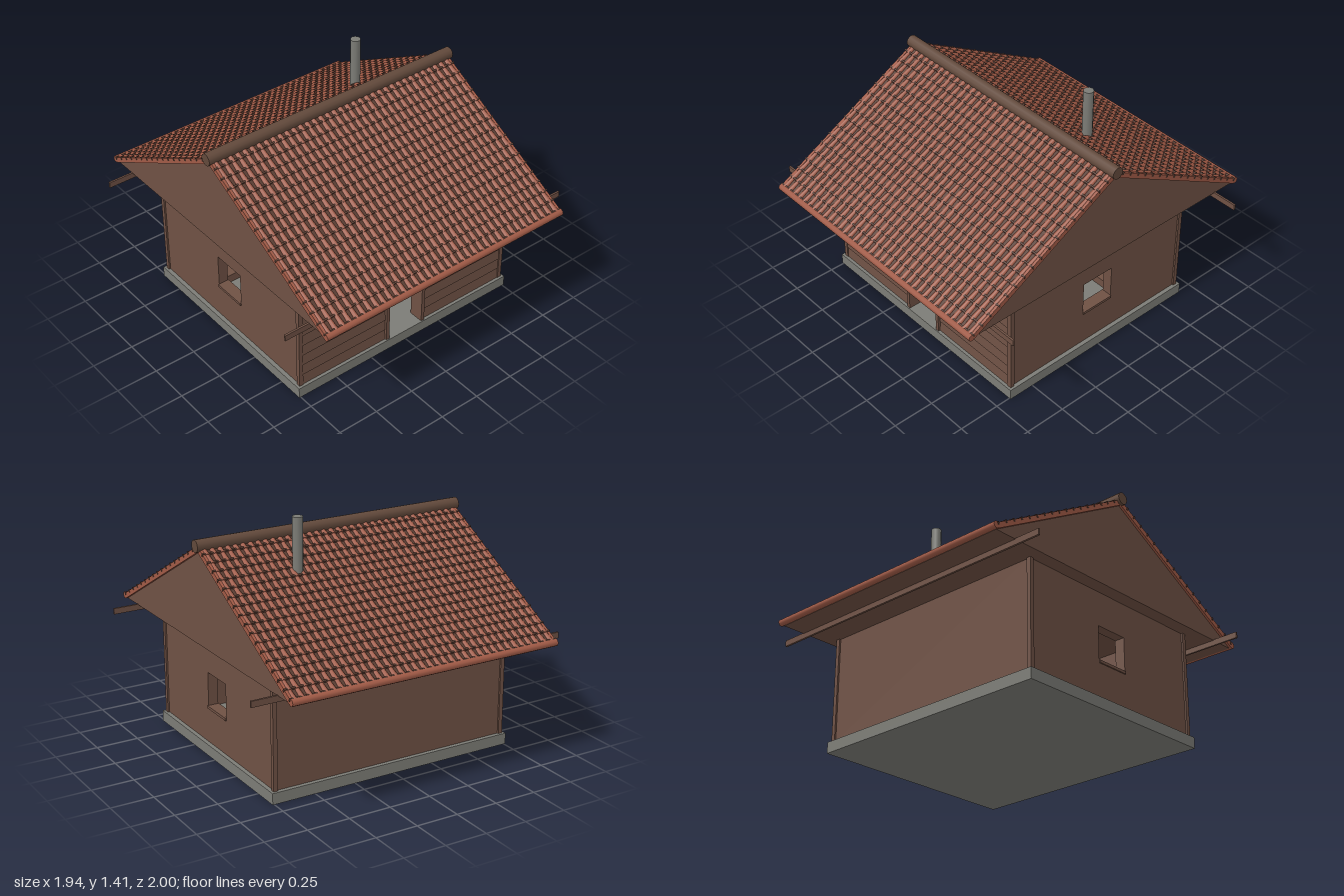
import * as THREE from 'three';
import { mergeGeometries } from 'three/addons/utils/BufferGeometryUtils.js';

const mat = (name, color) => {
  const m = new THREE.MeshStandardMaterial({ color });
  m.name = name;
  return m;
};

export function createModel() {
  const root = new THREE.Group();
  root.name = 'cabin';
  const wood = mat('brown wood', 0x6f5144);
  const ridgeWood = mat('dark wood', 0x62493b);
  const pan = mat('tile gap brown', 0x593d32);
  const clay = mat('terracotta', 0xa05a46);
  const stone = mat('grey concrete', 0x7c7c76);

  const add = (name, geo, material, x = 0, y = 0, z = 0, parent = root) => {
    const m = new THREE.Mesh(geo, material);
    m.name = name;
    m.position.set(x, y, z);
    parent.add(m);
    return m;
  };
  const box = (name, w, h, d, material, x, y, z, parent) =>
    add(name, new THREE.BoxGeometry(w, h, d), material, x, y, z, parent);
  const polygon = (pts) => new THREE.Shape(pts.map((p) => new THREE.Vector2(...p)));
  const slab = (shape, depth) => new THREE.ExtrudeGeometry(shape, { depth, bevelEnabled: false });

  // Foundation, its top is the floor
  box('foundation', 1.52, 0.065, 1.32, stone, 0, 0.0325, 0);

  // Side walls with square window openings and sills
  const y0 = 0.065, y1 = 0.69;
  const side = polygon([[-0.62, y0], [0.62, y0], [0.62, y1], [-0.62, y1]]);
  side.holes.push(polygon([[-0.105, 0.28], [-0.105, 0.485], [0.105, 0.485], [0.105, 0.28]]));
  for (const s of [-1, 1]) {
    const geo = slab(side, 0.06).translate(0, 0, -0.03).rotateY(Math.PI / 2);
    add('sideWall', geo, wood, s * 0.705, 0, 0);
    box('windowSill', 0.07, 0.016, 0.21, wood, s * 0.707, 0.279, 0);
    for (const t of [-1, 1]) {
      box('cornerPost', 0.025, y1 - y0, 0.025, wood, s * 0.7325, (y0 + y1) / 2, t * 0.6325);
    }
  }

  // Back wall, and front wall with an open doorway
  box('backWall', 1.45, y1 - y0, 0.06, wood, 0, (y0 + y1) / 2, -0.605);
  const front = polygon([[-0.72, y0], [-0.12, y0], [-0.12, 0.525], [0.12, 0.525],
    [0.12, y0], [0.72, y0], [0.72, y1], [-0.72, y1]]);
  add('frontWall', slab(front, 0.06), wood, 0, 0, 0.57);

  // Lapped siding on the front wall
  const rows = 9, rowH = (y1 - y0) / rows;
  for (let i = 0; i < rows; i++) {
    const y = y0 + (i + 0.5) * rowH;
    const runs = y + rowH / 2 < 0.57 ? [[-0.72, -0.13], [0.13, 0.72]] : [[-0.72, 0.72]];
    for (const [a, b] of runs) {
      box('sidingBoard', b - a, rowH, 0.008, wood, (a + b) / 2, y, 0.635).rotation.x = -0.08;
    }
  }

  // Door frame
  for (const s of [-1, 1]) box('doorJamb', 0.022, 0.485, 0.09, wood, s * 0.129, 0.3075, 0.608);
  box('doorHead', 0.28, 0.028, 0.09, wood, 0, 0.538, 0.608);
  box('doorCap', 0.32, 0.02, 0.05, wood, 0, 0.56, 0.634);

  // Benches along the back wall inside
  box('upperBench', 1.35, 0.035, 0.22, wood, 0, 0.2725, -0.465);
  box('benchRail', 1.35, 0.037, 0.02, wood, 0, 0.2, -0.375);
  box('lowerBench', 1.35, 0.05, 0.2, wood, 0, 0.09, -0.4);

  // Attic block with gables and flat soffit
  const gable = polygon([[-0.97, 0.685], [0.97, 0.685], [0.97, 0.7], [0, 1.235], [-0.97, 0.7]]);
  add('attic', slab(gable, 1.63).translate(0, 0, -0.815).rotateY(Math.PI / 2), wood);

  // Boards carried past the gables under the eaves
  for (const s of [-1, 1]) box('eaveBoard', 1.94, 0.035, 0.012, wood, 0, 0.672, s * 0.825);

  // One tiled slope; local z runs down the slope, local y points out of it
  const angle = Math.atan2(0.535, 0.97), len = Math.hypot(0.535, 0.97);
  const cols = 36, courses = 17, pitch = 1.65 / cols, step = len / courses;
  const tile = new THREE.CylinderGeometry(0.0165, 0.0125, step, 5, 1, false, Math.PI / 2, Math.PI)
    .rotateX(Math.PI / 2);
  const tiles = [], battens = [];
  for (let r = 0; r < courses; r++) {
    const z = (r + 0.5) * step;
    for (let c = 0; c < cols; c++) {
      tiles.push(tile.clone().translate((c + 0.5 - cols / 2) * pitch, 0.008, z));
    }
    battens.push(new THREE.BoxGeometry(1.664, 0.018, 0.01).translate(0, 0.013, (r + 1) * step - 0.008));
  }
  const tileGeo = mergeGeometries(tiles), battenGeo = mergeGeometries(battens);
  for (const turn of [0, Math.PI]) {
    const half = new THREE.Group();
    half.name = 'roofSide';
    half.rotation.y = turn;
    root.add(half);
    const slope = new THREE.Group();
    slope.name = 'roofSlope';
    slope.position.y = 1.235;
    slope.rotation.x = angle;
    half.add(slope);
    box('roofDeck', 1.64, 0.014, len, pan, 0, 0.003, len / 2, slope);
    add('roofTiles', tileGeo, clay, 0, 0, 0, slope);
    add('tileCourseLips', battenGeo, pan, 0, 0, 0, slope);
    for (const s of [-1, 1]) box('rakeTrim', 0.016, 0.03, len, clay, s * 0.821, 0.002, len / 2, slope);
    const roll = new THREE.CylinderGeometry(0.02, 0.02, 1.658, 10).rotateZ(Math.PI / 2);
    add('eaveRoll', roll, clay, 0, 0.703, 0.98, half);
  }

  // Ridge log and chimney pipe
  add('ridgeLog', new THREE.CylinderGeometry(0.036, 0.036, 1.69, 12).rotateZ(Math.PI / 2), ridgeWood, 0, 1.255, 0);
  add('chimney', new THREE.CylinderGeometry(0.03, 0.03, 0.41, 10), stone, 0.36, 1.205, -0.25);

  return root;
}
